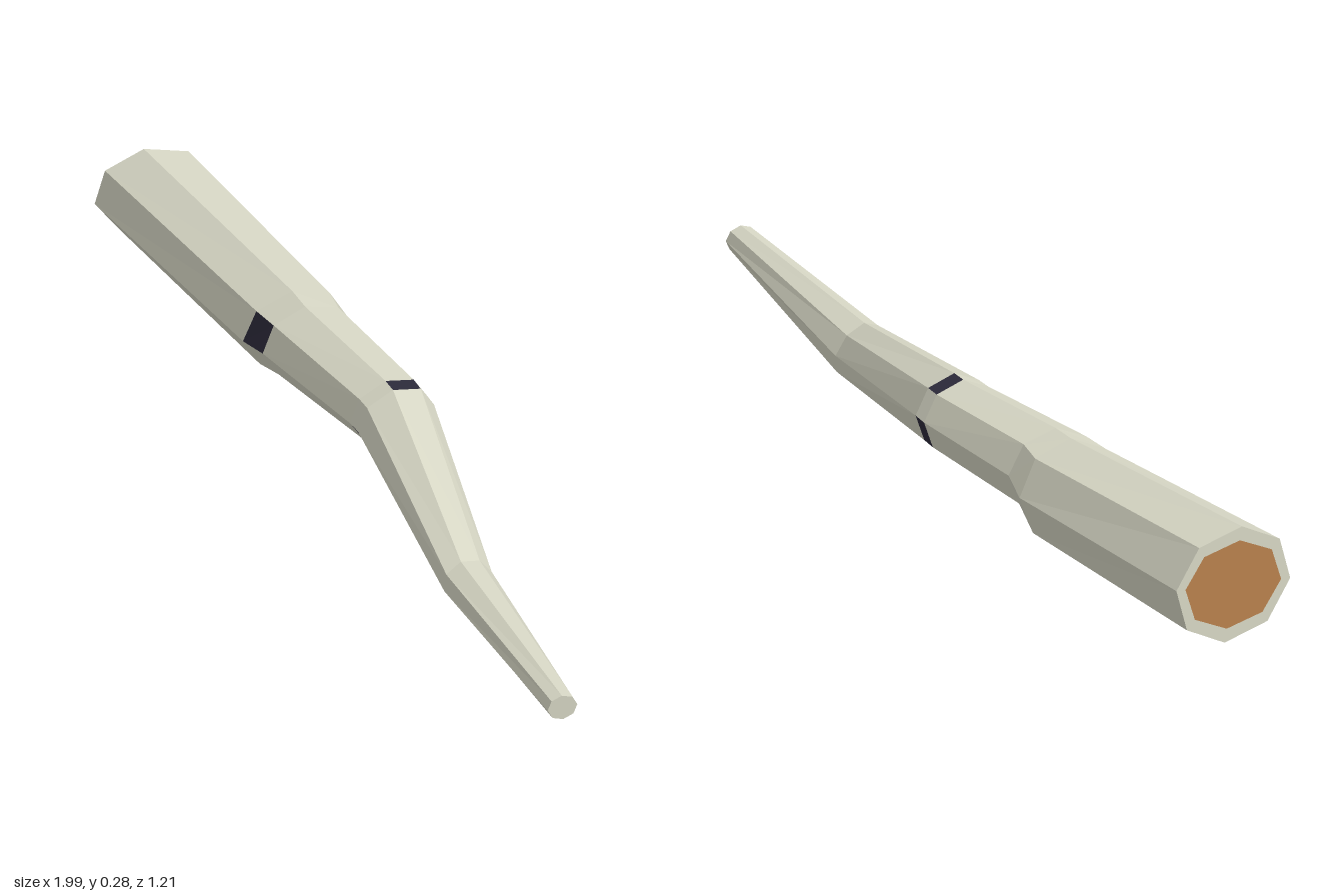
import * as THREE from 'three';

const SIDES = 8;
const mat = (name, color) => Object.assign(new THREE.MeshStandardMaterial({ color, flatShading: true }), { name });

// Octagonal cross-sections from the thick end to the tip: centre c, half axes u (sideways) and v (up)
const RINGS = [
  { c: [-0.906, 0.143, -0.49], u: [-0.09, -0.01, 0.11], v: [-0.005, 0.1375, 0.033] },
  { c: [-0.34, 0.137, -0.243], u: [-0.077, -0.008, 0.1], v: [0.008, 0.125, 0.022] },
  { c: [-0.272, 0.156, -0.2], u: [-0.067, -0.009, 0.09], v: [-0.003, 0.105, 0.01] },
  { c: [0.036, 0.164, -0.079], u: [-0.051, -0.01, 0.083], v: [0, 0.091, 0.013] },
  { c: [0.07, 0.165, -0.06], u: [-0.05, -0.01, 0.082], v: [0, 0.09, 0.013] },
  { c: [0.495, 0.075, 0.265], u: [-0.025, -0.002, 0.06], v: [-0.01, 0.063, 0.015] },
  { c: [0.973, 0.107, 0.575], u: [-0.021, 0, 0.03], v: [-0.002, 0.033, 0] },
];

// Dark bark scars, as "band:side"
const SCARS = new Set(['1:0', '1:6', '3:7', '3:2', '3:4']);

// Point k of a ring, optionally shrunk towards its centre
function point(ring, k, su = 1, sv = su) {
  const a = (k / SIDES) * Math.PI * 2;
  return ring.c.map((c, i) => c + Math.cos(a) * su * ring.u[i] + Math.sin(a) * sv * ring.v[i]);
}

function meshFrom(name, triangles, material) {
  const geometry = new THREE.BufferGeometry();
  geometry.setAttribute('position', new THREE.Float32BufferAttribute(triangles.flat(), 3));
  geometry.computeVertexNormals();
  const mesh = new THREE.Mesh(geometry, material);
  mesh.name = name;
  return mesh;
}

export function createModel() {
  const group = new THREE.Group();
  group.name = 'branch';
  const bark = [], scars = [], wood = [];
  const quad = (out, a, b, c, d) => out.push(a, b, c, a, c, d);

  // Bark sides
  for (let i = 0; i < RINGS.length - 1; i++) {
    for (let k = 0; k < SIDES; k++) {
      const lo = RINGS[i], hi = RINGS[i + 1];
      quad(SCARS.has(`${i}:${k}`) ? scars : bark,
        point(lo, k), point(hi, k), point(hi, k + 1), point(lo, k + 1));
    }
  }

  // Cut end with a bark rim around the wood, and the closed tip
  const base = RINGS[0], tip = RINGS[RINGS.length - 1];
  const SU = 0.84, SV = 0.76;
  for (let k = 0; k < SIDES; k++) {
    quad(bark, point(base, k), point(base, k + 1), point(base, k + 1, SU, SV), point(base, k, SU, SV));
    wood.push(base.c, point(base, k, SU, SV), point(base, k + 1, SU, SV));
    bark.push(tip.c, point(tip, k + 1), point(tip, k));
  }

  group.add(
    meshFrom('bark', bark, mat('paleBark', 0xd6d6c4)),
    meshFrom('barkScars', scars, mat('darkScar', 0x2c2a3a)),
    meshFrom('cutWood', wood, mat('cutWood', 0xb8804c)),
  );
  return group;
}
